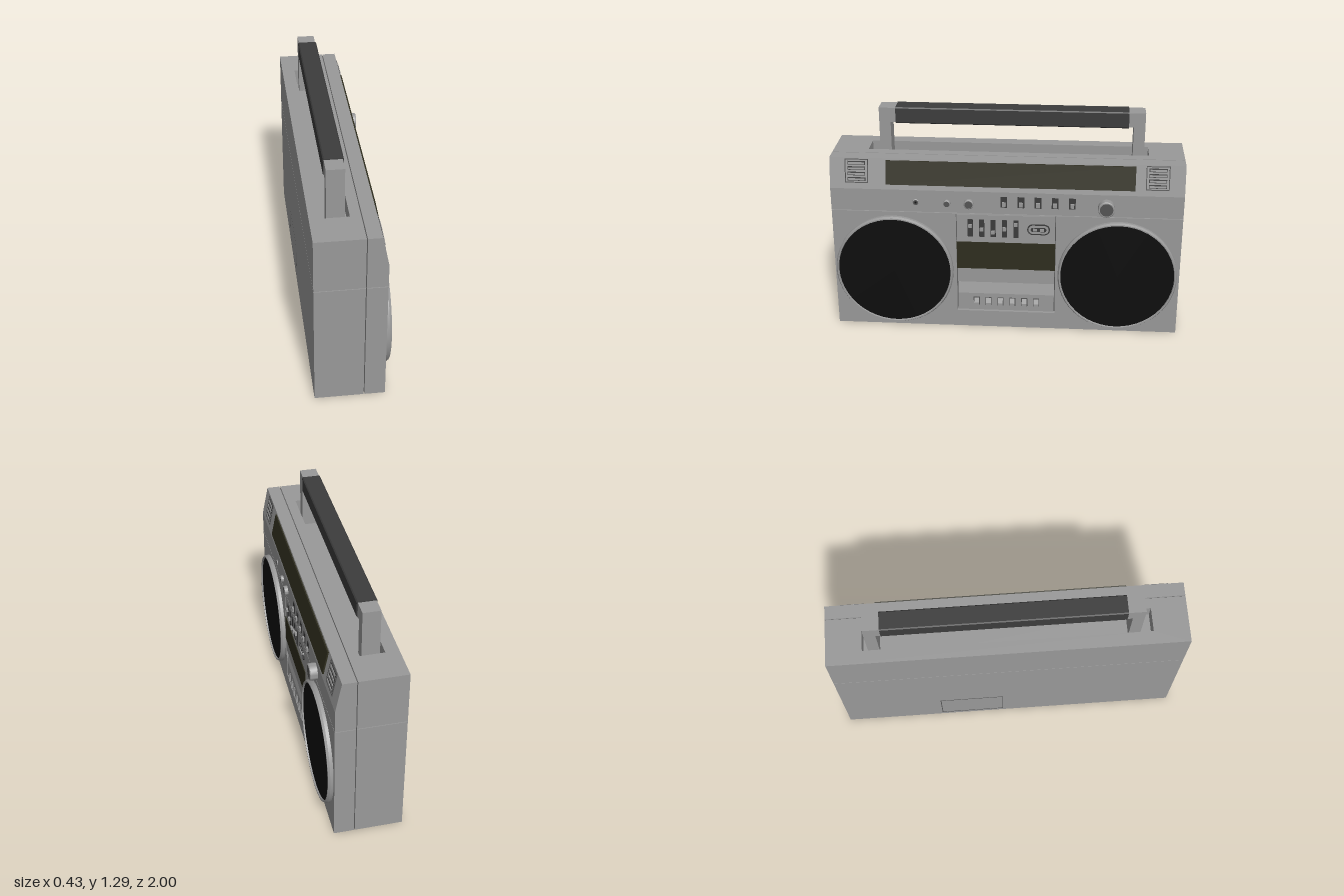
import * as THREE from 'three';
import { toCreasedNormals } from 'three/addons/utils/BufferGeometryUtils.js';

const mat = (name, color) => Object.assign(new THREE.MeshStandardMaterial({ color }), { name });

export function createModel() {
  const shell = mat('shell grey', 0x999999);
  const seam = mat('seam grey', 0x555555);
  const dark = mat('dark plastic', 0x3c3c3c);
  const glass = mat('olive glass', 0x2e2d1e);
  const black = mat('speaker black', 0x0d0d0d);

  // Built facing +z, then turned so the speakers face +x
  const radio = new THREE.Group();
  radio.name = 'portableStereo';
  radio.rotation.y = Math.PI / 2;

  const add = (name, geo, material, parent = radio) => {
    const m = new THREE.Mesh(geo, material);
    m.name = name;
    parent.add(m);
    return m;
  };
  // Box given by its limits on each axis
  const block = (name, x0, x1, y0, y1, z0, z1, material, parent = radio) => {
    const m = add(name, new THREE.BoxGeometry(x1 - x0, y1 - y0, z1 - z0), material, parent);
    m.position.set((x0 + x1) / 2, (y0 + y1) / 2, (z0 + z1) / 2);
    return m;
  };
  const rectPoints = (x0, x1, y0, y1) =>
    [[x0, y0], [x1, y0], [x1, y1], [x0, y1]].map(p => new THREE.Vector2(...p));
  // Rectangle with a rectangular hole, extruded along z
  const frameGeo = (outer, inner, depth) => {
    const s = new THREE.Shape(rectPoints(...outer));
    s.holes.push(new THREE.Path(rectPoints(...inner)));
    return new THREE.ExtrudeGeometry(s, { depth, bevelEnabled: false });
  };
  // Side profile of [depth, height] points, extruded across the width
  const across = (points, width) => {
    const s = new THREE.Shape(points.map(p => new THREE.Vector2(...p)));
    return new THREE.ExtrudeGeometry(s, { depth: width, bevelEnabled: false })
      .translate(0, 0, -width / 2).rotateY(-Math.PI / 2);
  };
  // Turned part whose axis points forward; profile of [radius, height]
  const turned = (points, segments = 32) => toCreasedNormals(
    new THREE.LatheGeometry(points.map(p => new THREE.Vector2(...p)), segments).rotateX(Math.PI / 2), 0.5);

  // Case: four shells around a darker core that shows in the seams
  block('seamCore', -0.992, 0.992, 0.01, 0.9, -0.207, 0.135, seam);
  block('lowerBackShell', -1, 1, 0, 0.733, -0.215, 0.053, shell);
  block('upperBackFloor', -0.9, 0.9, 0.737, 0.95, -0.2, 0.04, shell);
  const top = add('upperBackShell', frameGeo([-1, 1, -0.053, 0.215], [-0.8, 0.8, 0.005, 0.14], 0.308), shell);
  top.rotation.x = -Math.PI / 2;
  top.position.y = 0.737;
  add('upperFrontShell', across(
    [[0.058, 0.737], [0.17, 0.737], [0.17, 0.87], [0.135, 1.045], [0.058, 1.045]], 2), shell);
  block('lowerFrontShell', -1, 1, 0, 0.733, 0.058, 0.14, shell);
  add('frontPlate', frameGeo([-1, 1, 0, 0.733], [-0.286, 0.286, 0.103, 0.73], 0.03), shell).position.z = 0.14;
  block('panelRecess', -0.286, 0.286, 0.103, 0.73, 0.138, 0.143, seam);
  block('topSeamFill', -0.995, 0.995, 0.88, 1.035, 0.05, 0.06, seam);

  // Battery door outline on the back
  add('batteryDoorSeam', frameGeo([0.036, 0.418, 0.03, 0.27], [0.041, 0.413, 0.035, 0.265], 0.002), seam)
    .position.z = -0.2165;

  // Speakers
  for (const x of [-0.648, 0.643]) {
    const speaker = new THREE.Group();
    speaker.name = 'speaker';
    speaker.position.set(x, 0.366, 0.17);
    radio.add(speaker);
    add('speakerRing', turned(
      [[0.343, -0.005], [0.343, 0.018], [0.336, 0.03], [0.329, 0.03], [0.325, 0.015]], 48), shell, speaker);
    add('speakerMesh', new THREE.CircleGeometry(0.327, 48), black, speaker).position.z = 0.021;
  }

  // Carrying handle standing in the slot
  const handle = new THREE.Group();
  handle.name = 'handle';
  radio.add(handle);
  block('leftArm', -0.735, -0.67, 0.95, 1.29, -0.12, -0.022, shell, handle);
  block('rightArm', 0.708, 0.772, 0.95, 1.29, -0.12, -0.022, shell, handle);
  block('leftArmHead', -0.671, -0.635, 1.205, 1.29, -0.12, -0.022, shell, handle);
  block('rightArmHead', 0.67, 0.709, 1.205, 1.29, -0.12, -0.022, shell, handle);
  add('grip', across([[-0.118, 1.2], [-0.022, 1.2], [-0.016, 1.206], [-0.016, 1.289],
    [-0.022, 1.295], [-0.118, 1.295], [-0.124, 1.289], [-0.124, 1.206]], 1.32), dark, handle).position.x = 0.02;

  // Sloped upper front with tuner window and two vents
  const slope = new THREE.Group();
  slope.name = 'slopedFront';
  slope.position.set(0, 0.9575, 0.1525);
  slope.rotation.x = -Math.atan2(0.035, 0.175);
  radio.add(slope);
  block('tunerWindow', -0.68, 0.724, -0.06, 0.079, 0, 0.008, glass, slope);
  for (const x of [-0.847, 0.847]) {
    add('ventFrame', frameGeo([x - 0.066, x + 0.066, -0.055, 0.083],
      [x - 0.061, x + 0.061, -0.05, 0.078], 0.003), seam, slope);
    for (let i = 0; i < 4; i++) {
      const y = 0.06 - i * 0.031;
      block('ventSlot', x - 0.05, x + 0.05, y - 0.01, y + 0.01, 0, 0.003, dark, slope);
      block('ventBar', x - 0.046, x + 0.046, y - 0.006, y + 0.004, 0, 0.007, shell, slope);
    }
  }

  // Upper control row: jack, small knobs, switches and volume knob
  const knob = (name, x, r, h) => {
    const g = new THREE.Group();
    g.name = name;
    g.position.set(x, 0.797, 0.17);
    radio.add(g);
    add('knobBody', turned([[r, 0], [r, h - 0.004], [r - 0.004, h], [r * 0.8, h]]), shell, g);
    add('knobFace', new THREE.CircleGeometry(r * 0.85, 32), seam, g).position.z = h - 0.001;
    return g;
  };
  const jack = knob('headphoneJack', -0.513, 0.018, 0.006);
  add('jackHole', new THREE.CircleGeometry(0.007, 16), black, jack).position.z = 0.007;
  knob('balanceKnob', -0.335, 0.02, 0.018);
  knob('toneKnob', -0.21, 0.028, 0.022);
  knob('volumeKnob', 0.567, 0.047, 0.043);
  for (let i = 0; i < 5; i++) {
    const x = -0.011 + i * 0.0965;
    block('switchSlot', x - 0.019, x + 0.019, 0.778, 0.844, 0.168, 0.173, dark);
    block('switchLever', x - 0.011, x + 0.011, 0.788, 0.812, 0.17, 0.183, shell);
  }

  // Cassette door with equalizer sliders and mode button
  block('cassetteDoor', -0.281, 0.281, 0.295, 0.726, 0.14, 0.168, shell);
  block('cassetteWindow', -0.284, 0.284, 0.385, 0.555, 0.166, 0.172, glass);
  [0.66, 0.64, 0.622, 0.645, 0.675].forEach((y, i) => {
    const x = -0.204 + i * 0.0655;
    block('sliderSlot', x - 0.015, x + 0.015, 0.59, 0.698, 0.165, 0.171, dark);
    block('sliderKnob', x - 0.01, x + 0.01, y - 0.01, y + 0.01, 0.168, 0.183, shell);
  });
  const pill = (w, h) => {
    const r = h / 2, s = new THREE.Shape();
    s.absarc(w / 2 - r, 0, r, -Math.PI / 2, Math.PI / 2);
    s.absarc(r - w / 2, 0, r, Math.PI / 2, Math.PI * 1.5);
    return s;
  };
  [['modeRim', 0.13, 0.066, 0.004, dark], ['modePlate', 0.116, 0.052, 0.005, shell],
    ['modeSlot', 0.09, 0.026, 0.006, dark]].forEach(([name, w, h, depth, m]) =>
    add(name, new THREE.ExtrudeGeometry(pill(w, h), { depth, bevelEnabled: false }), m)
      .position.set(0.187, 0.644, 0.167));
  for (const x of [0.167, 0.207]) block('modeButton', x - 0.012, x + 0.012, 0.636, 0.652, 0.168, 0.178, shell);

  // Tape key bed, leaning back at its top, with six keys
  add('keyBed', across([[0.14, 0.112], [0.168, 0.112], [0.168, 0.22], [0.152, 0.287], [0.14, 0.287]], 0.562), shell);
  for (let i = 0; i < 6; i++) {
    const x = -0.172 + i * 0.07;
    block('keySlot', x - 0.018, x + 0.018, 0.143, 0.196, 0.166, 0.17, seam);
    add('tapeKey', across([[0.165, 0.147], [0.184, 0.147], [0.184, 0.165], [0.172, 0.192], [0.165, 0.192]], 0.028), shell)
      .position.x = x;
  }

  const model = new THREE.Group();
  model.name = 'model';
  model.add(radio);
  return model;
}
